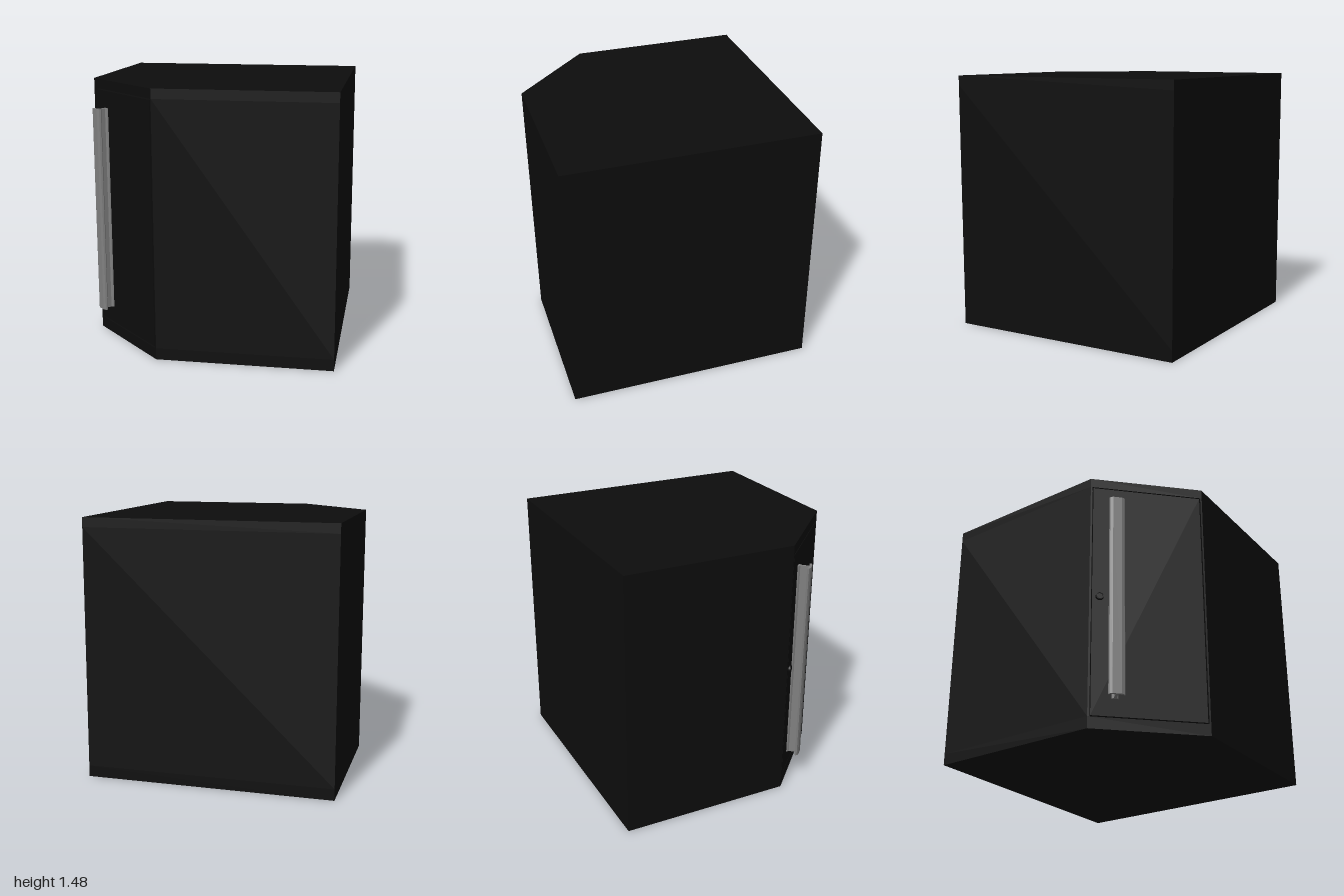
import * as THREE from 'three';

const black = new THREE.MeshStandardMaterial({ color: 0x0d0d0d });
const darkBlack = new THREE.MeshStandardMaterial({ color: 0x060606 });
const grey = new THREE.MeshStandardMaterial({ color: 0x808080 });

const HEIGHT = 1.48, FRONT = 0.805, CORNER = 0.315;
const DOOR = { half: 0.3, bottom: 0.07, top: 1.42, depth: 0.03, gap: 0.006 };

function add(parent, name, geometry, material, x = 0, y = 0, z = 0) {
  const mesh = new THREE.Mesh(geometry, material);
  mesh.name = name;
  mesh.position.set(x, y, z);
  parent.add(mesh);
  return mesh;
}

// Extrudes a floor plan, given as [x, z] points, upwards from y0 to y1
function extrudePlan(points, y0, y1) {
  const shape = new THREE.Shape(points.map(([x, z]) => new THREE.Vector2(x, -z)));
  const geometry = new THREE.ExtrudeGeometry(shape, { depth: y1 - y0, bevelEnabled: false });
  return geometry.rotateX(-Math.PI / 2).translate(0, y0, 0);
}

export function createModel() {
  const model = new THREE.Group();
  model.name = 'cornerCabinet';

  // Five-sided body, with a shallow opening for the door between base and top
  const cabinet = new THREE.Group();
  cabinet.name = 'cabinetBody';
  model.add(cabinet);
  const back = [[CORNER, FRONT], [1, 0.12], [0, -0.88], [-1, 0.12], [-CORNER, FRONT]];
  const edge = DOOR.half + DOOR.gap, inner = FRONT - DOOR.depth;
  const notch = [[-edge, FRONT], [-edge, inner], [edge, inner], [edge, FRONT]];
  const low = DOOR.bottom - DOOR.gap, high = DOOR.top + DOOR.gap;
  add(cabinet, 'base', extrudePlan(back, 0, low), black);
  add(cabinet, 'walls', extrudePlan([...back, ...notch], low, high), black);
  add(cabinet, 'top', extrudePlan(back, high, HEIGHT), black);

  // Flush door panel
  const doorHeight = DOOR.top - DOOR.bottom;
  add(model, 'door', new THREE.BoxGeometry(DOOR.half * 2, doorHeight, DOOR.depth), black,
    0, DOOR.bottom + doorHeight / 2, FRONT - DOOR.depth / 2);

  // Round lock with a raised rim and a key slot
  const lock = new THREE.Group();
  lock.name = 'lock';
  lock.position.set(-0.26, 0.74, FRONT);
  model.add(lock);
  add(lock, 'lockBarrel', new THREE.CylinderGeometry(0.02, 0.022, 0.01, 24).rotateX(Math.PI / 2), black, 0, 0, 0.005);
  add(lock, 'lockRim', new THREE.TorusGeometry(0.018, 0.003, 8, 24), darkBlack, 0, 0, 0.009);
  add(lock, 'keySlot', new THREE.BoxGeometry(0.004, 0.018, 0.002), darkBlack, 0, 0, 0.0105);

  // Full-length T-section handle: flared foot, thin stem and a bowed grip
  const half = [[0.018, 0], [0.015, 0.006], [0.007, 0.013], [0.006, 0.054], [0.012, 0.06],
    [0.034, 0.057], [0.041, 0.053], [0.043, 0.057], [0.039, 0.066], [0.024, 0.073]];
  const section = [...half, ...half.map(([x, z]) => [-x, z]).reverse()];
  add(model, 'handle', extrudePlan(section, 0.165, 1.325), grey, -0.177, 0, FRONT);

  return model;
}
